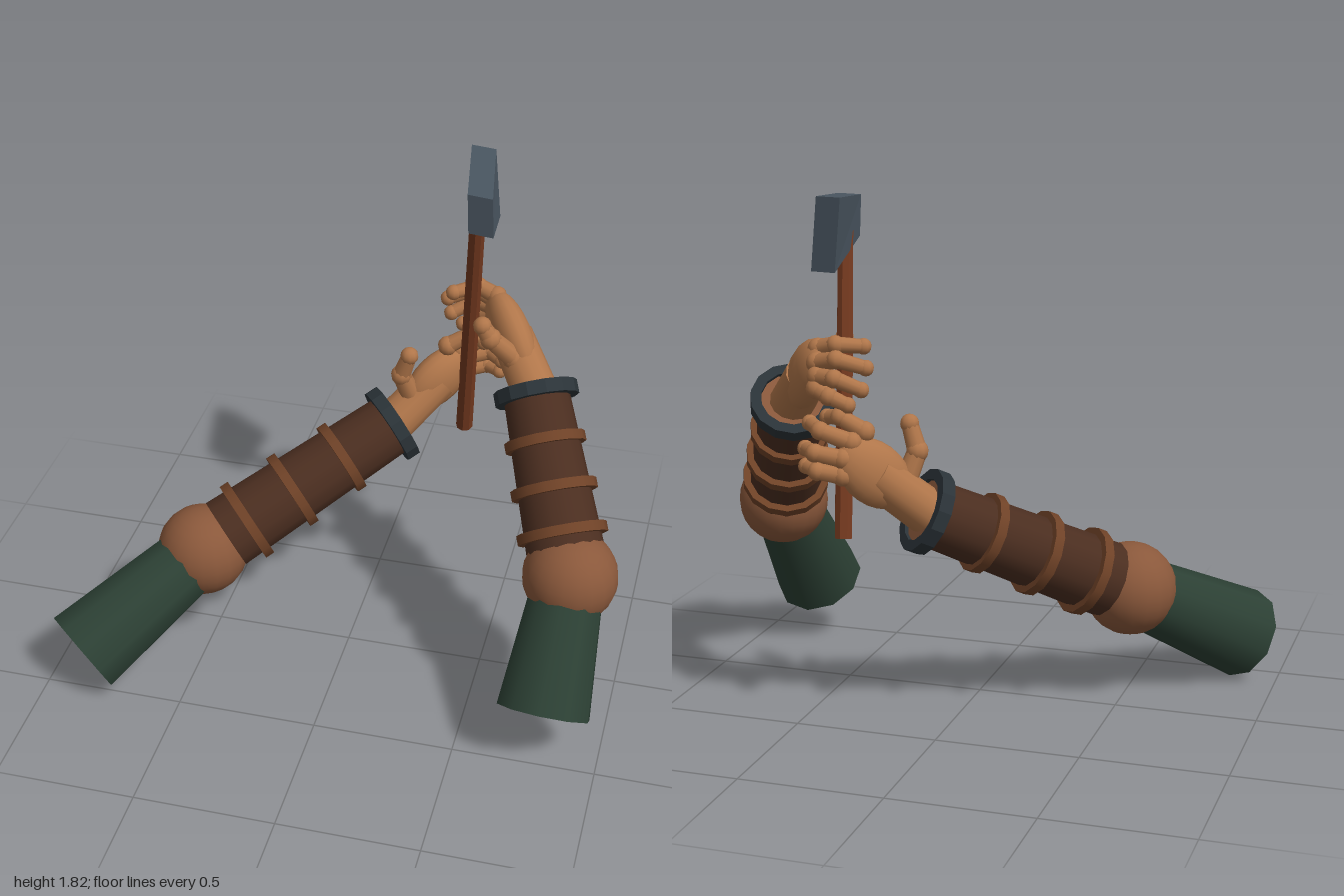
import * as THREE from 'three';

const mat = (color, flatShading = false) => new THREE.MeshStandardMaterial({ color, flatShading });
const M = {
  sleeve: mat(0x2c4034), elbow: mat(0x8a583b), leather: mat(0x4b2e20), strap: mat(0x6f4227),
  cuff: mat(0x2b3338), skin: mat(0xb0764a), wood: mat(0x74391f, true), iron: mat(0x4a5661, true),
};
const V = (p) => new THREE.Vector3(...p);
const UP = new THREE.Vector3(0, 1, 0);

function add(parent, name, geometry, material) {
  const mesh = new THREE.Mesh(geometry, material);
  mesh.name = name;
  parent.add(mesh);
  return mesh;
}

// Tapered cylinder running from point a to point b
function rod(parent, name, a, b, ra, rb, material, sides = 12) {
  const d = b.clone().sub(a);
  const mesh = add(parent, name, new THREE.CylinderGeometry(rb, ra, d.length(), sides), material);
  mesh.position.copy(a).addScaledVector(d, 0.5);
  mesh.quaternion.setFromUnitVectors(UP, d.normalize());
  return mesh;
}

function ball(parent, name, p, r, material, w = 12, h = 8) {
  const mesh = add(parent, name, new THREE.SphereGeometry(r, w, h), material);
  mesh.position.copy(p);
  return mesh;
}

// Jointed finger through a few points, with round knuckles and tip
function finger(parent, name, points, r0, r1) {
  const g = new THREE.Group();
  g.name = name;
  parent.add(g);
  const p = points.map(V);
  const radius = (i) => THREE.MathUtils.lerp(r0, r1, i / (p.length - 1));
  p.forEach((q, i) => {
    ball(g, 'joint', q, radius(i) * 1.06, M.skin, 10, 8);
    if (i) rod(g, 'fingerSegment', p[i - 1], q, radius(i - 1) * 0.92, radius(i) * 0.92, M.skin, 10);
  });
}

function makeHand(s) {
  const hand = new THREE.Group();
  hand.name = s.side + 'Hand';
  const cuff = V(s.cuff), centre = V(s.palm);
  rod(hand, 'wrist', cuff, centre, 0.08, 0.075, M.skin, 14);

  // Palm: flattened ball, long towards the fingers and wide across the knuckles
  const along = centre.clone().sub(cuff).normalize();
  const wide = V(s.fingers[0][0]).sub(V(s.fingers[3][0]));
  wide.addScaledVector(along, -wide.dot(along)).normalize();
  const thick = new THREE.Vector3().crossVectors(wide, along);
  const palm = ball(hand, 'palm', centre, 1, M.skin, 18, 12);
  palm.quaternion.setFromRotationMatrix(new THREE.Matrix4().makeBasis(wide, along, thick));
  palm.scale.set(0.105, s.palmLength, 0.068);

  s.fingers.forEach((f, i) => finger(hand, 'finger' + (i + 1), f, 0.034, 0.026));
  finger(hand, 'thumb', s.thumb, 0.042, 0.031);
  return hand;
}

function makeArm(s) {
  const arm = new THREE.Group();
  arm.name = s.side + 'Arm';
  const shoulder = V(s.shoulder), elbow = V(s.elbow), cuff = V(s.cuff);
  const at = (t) => elbow.clone().lerp(cuff, t);

  rod(arm, 'sleeve', shoulder, elbow.clone().lerp(shoulder, 0.06), 0.165, 0.125, M.sleeve, 10);
  ball(arm, 'elbow', elbow, 0.165, M.elbow, 20, 14);
  rod(arm, 'bracer', at(0.12), at(0.98), 0.135, 0.115, M.leather, 14);

  // Leather straps, narrowing towards the wrist
  const axis = cuff.clone().sub(elbow).normalize();
  const ring = (name, t, r, h, material) => rod(arm, name,
    at(t).addScaledVector(axis, -h / 2), at(t).addScaledVector(axis, h / 2), r, r, material, 14);
  [[0.23, 0.157], [0.47, 0.15], [0.73, 0.141]].forEach(([t, r]) => ring('strap', t, r, 0.035, M.strap));

  // Dark cuff: open ring with a rectangular section around the end of the forearm
  const profile = [[0.11, -0.024], [0.147, -0.024], [0.147, 0.024], [0.11, 0.024], [0.11, -0.024]];
  const band = add(arm, 'cuff', new THREE.LatheGeometry(profile.map((p) => new THREE.Vector2(...p)), 14),
    mat(0x2b3338, true));
  band.position.copy(cuff);
  band.quaternion.setFromUnitVectors(UP, axis);
  ring('forearmEnd', 1, 0.112, 0.02, M.elbow);

  arm.add(makeHand(s));
  return arm;
}

function makeHammer() {
  const hammer = new THREE.Group();
  hammer.name = 'hammer';
  rod(hammer, 'handle', V([0.315, 0.7, -0.51]), V([0.372, 1.7, -0.3]), 0.031, 0.027, M.wood, 8);

  // Wedge head: a box whose four end edges are moved to a tapered, leaning outline
  const head = new THREE.BoxGeometry(1, 1, 1);
  const pos = head.attributes.position;
  const frontTop = [0.395, 1.81, -0.2], frontLow = [0.403, 1.67, -0.195];
  const backTop = [0.343, 1.835, -0.525], backLow = [0.37, 1.59, -0.512];
  for (let i = 0; i < pos.count; i++) {
    const top = pos.getY(i) > 0;
    const c = pos.getZ(i) > 0 ? (top ? frontTop : frontLow) : (top ? backTop : backLow);
    pos.setXYZ(i, c[0] + pos.getX(i) * 0.088, c[1], c[2] + pos.getX(i) * 0.015);
  }
  head.computeVertexNormals();
  add(hammer, 'hammerHead', head, M.iron);
  return hammer;
}

export function createModel() {
  const model = new THREE.Group();
  model.name = 'armsWithHammer';
  model.add(makeArm({
    side: 'right',
    shoulder: [-0.865, 0.165, 0.485], elbow: [-0.52, 0.42, 0.11], cuff: [0.075, 0.77, -0.35],
    palm: [0.22, 0.92, -0.465], palmLength: 0.15,
    fingers: [
      [[0.25, 1.06, -0.47], [0.33, 1.11, -0.49], [0.385, 1.1, -0.46]],
      [[0.28, 1.03, -0.51], [0.38, 1.07, -0.54], [0.44, 1.08, -0.48]],
      [[0.3, 0.98, -0.54], [0.39, 1.0, -0.565], [0.445, 1.0, -0.51]],
      [[0.3, 0.925, -0.545], [0.38, 0.94, -0.57], [0.435, 0.945, -0.53]],
    ],
    thumb: [[0.14, 0.87, -0.39], [0.105, 0.98, -0.36], [0.135, 1.07, -0.35]],
  }));
  model.add(makeArm({
    side: 'left',
    shoulder: [0.805, 0.23, 0.465], elbow: [0.83, 0.615, 0.19], cuff: [0.62, 1.08, -0.2],
    palm: [0.5, 1.215, -0.345], palmLength: 0.175,
    fingers: [
      [[0.43, 1.32, -0.42], [0.36, 1.34, -0.44], [0.28, 1.33, -0.39]],
      [[0.42, 1.28, -0.46], [0.34, 1.3, -0.49], [0.25, 1.27, -0.45]],
      [[0.41, 1.24, -0.48], [0.34, 1.24, -0.51], [0.26, 1.2, -0.47]],
      [[0.41, 1.2, -0.49], [0.36, 1.18, -0.51], [0.3, 1.15, -0.49]],
    ],
    thumb: [[0.53, 1.18, -0.25], [0.45, 1.27, -0.21], [0.42, 1.32, -0.205]],
  }));
  model.add(makeHammer());
  return model;
}
